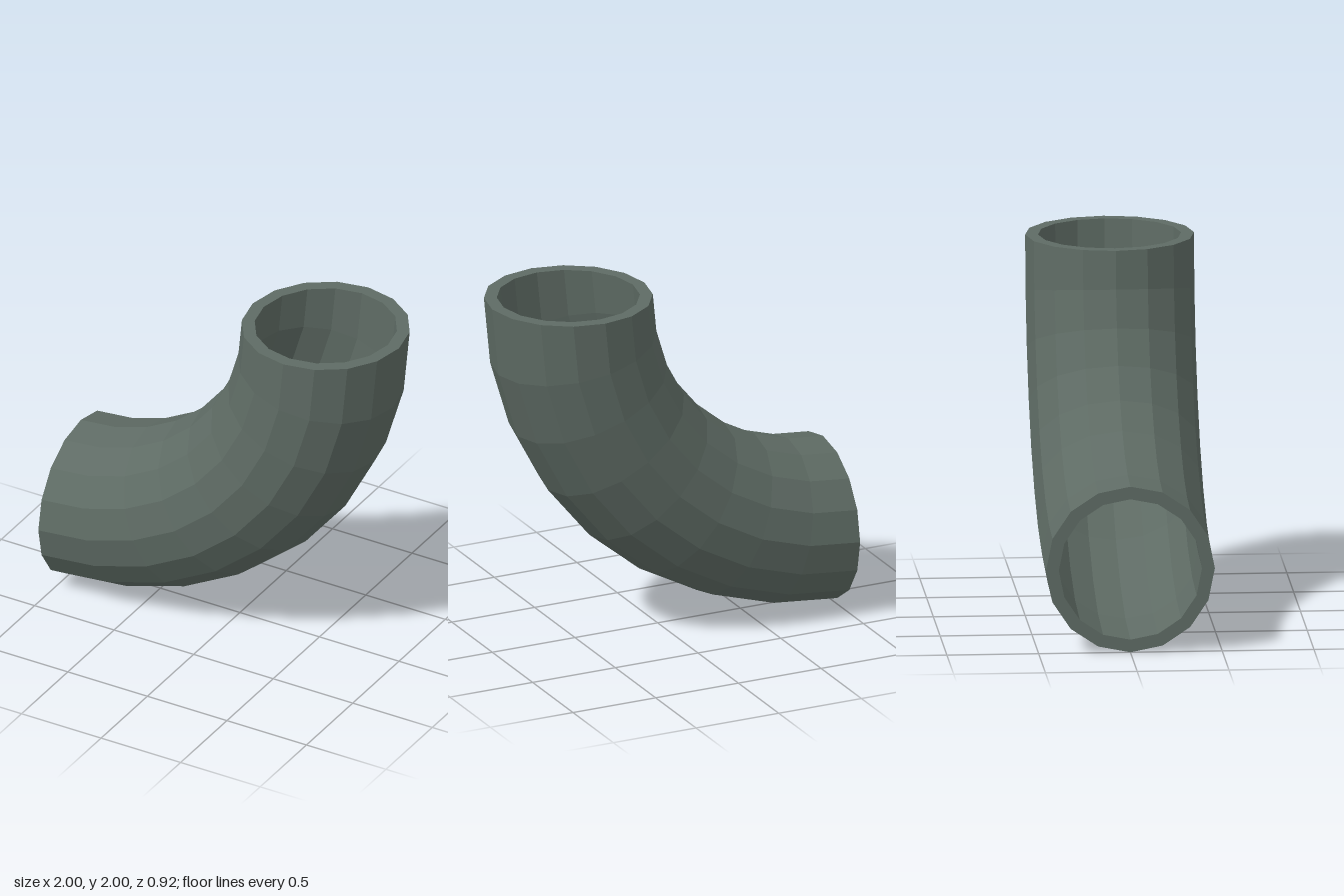
import * as THREE from 'three';

const BEND = 1.54, OUTER = 0.46, INNER = 0.39, SIDES = 16, STEPS = 8;

export function createModel() {
  const group = new THREE.Group();
  group.name = 'pipeElbow';
  const pipeGrey = new THREE.MeshStandardMaterial({ color: 0x5e6b64, flatShading: true });
  pipeGrey.name = 'greenish grey';

  const add = (name, geometry, x, y) => {
    const mesh = new THREE.Mesh(geometry, pipeGrey);
    mesh.name = name;
    mesh.position.set(x, y, 0);
    group.add(mesh);
  };

  // Quarter bend around the corner at (-1, 2)
  const bend = (radius) =>
    new THREE.TorusGeometry(BEND, radius, SIDES, STEPS, Math.PI / 2).rotateZ(-Math.PI / 2);
  add('outerWall', bend(OUTER), -1, 2);

  // Mirroring turns the faces of the bore inward
  const bore = bend(INNER).scale(1, 1, -1);
  bore.computeVertexNormals();
  add('innerWall', bore, -1, 2);

  // Flat rims closing the wall thickness at both openings
  const rim = () => new THREE.RingGeometry(INNER, OUTER, SIDES);
  add('topRim', rim().rotateX(-Math.PI / 2), BEND - 1, 2);
  add('sideRim', rim().rotateY(-Math.PI / 2), -1, 2 - BEND);

  return group;
}
